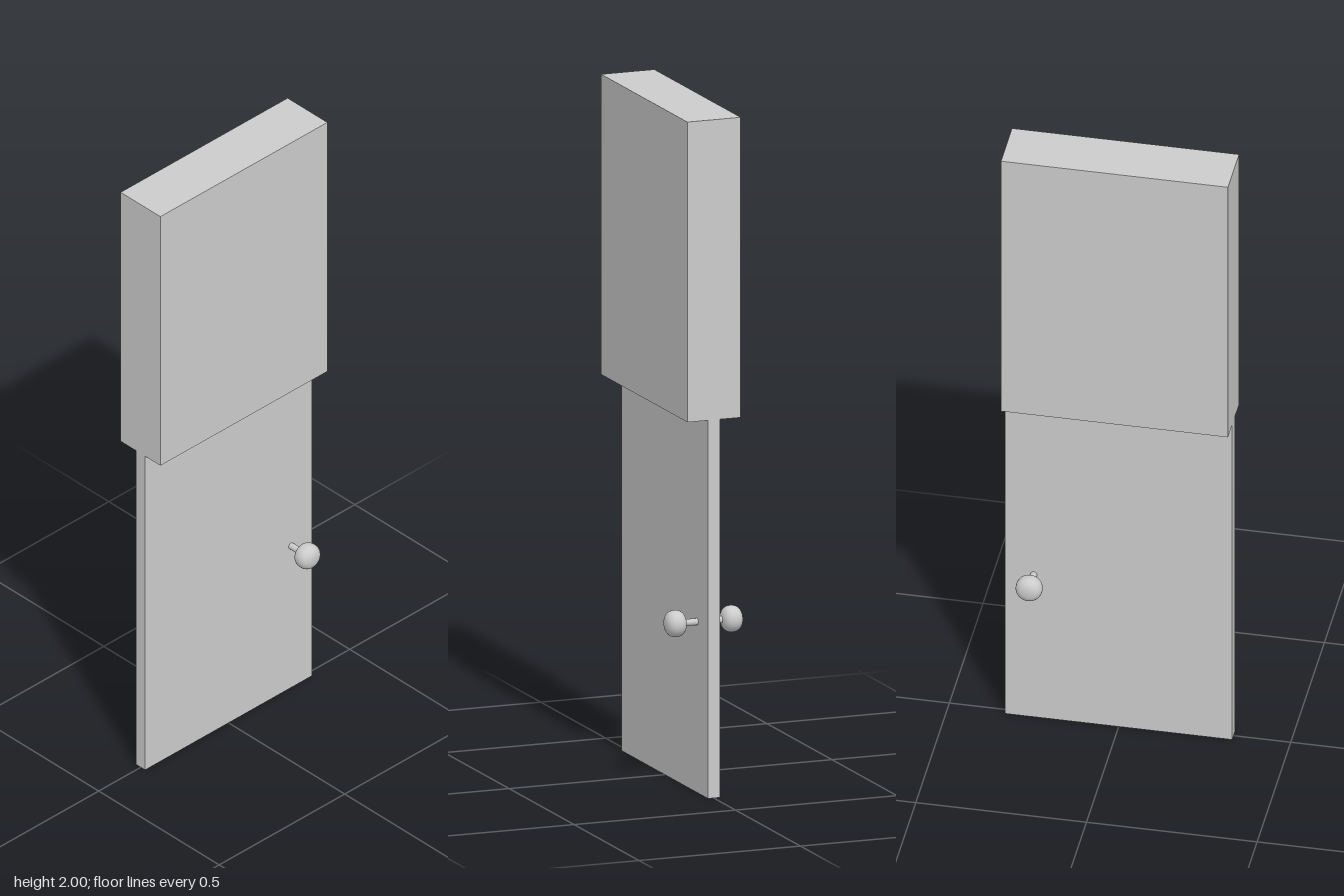
import * as THREE from 'three';

const material = new THREE.MeshStandardMaterial({ color: 0xcccccc });

function addMesh(parent, name, geometry, x, y, z) {
  const mesh = new THREE.Mesh(geometry, material);
  mesh.name = name;
  mesh.position.set(x, y, z);
  parent.add(mesh);
  return mesh;
}

// Flattened knob turned around y, with a slightly squared profile
function knobGeometry(radius, halfDepth) {
  const points = [];
  const steps = 16;
  for (let i = 0; i <= steps; i++) {
    const a = -Math.PI / 2 + (Math.PI * i) / steps;
    const c = Math.max(0, Math.cos(a));
    const s = Math.sin(a);
    points.push(new THREE.Vector2(
      i % steps === 0 ? 0 : radius * Math.pow(c, 0.85),
      halfDepth * Math.sign(s) * Math.pow(Math.abs(s), 0.85)
    ));
  }
  return new THREE.LatheGeometry(points, 32).rotateX(Math.PI / 2);
}

export function createModel() {
  const model = new THREE.Group();
  model.name = 'doorWithWallAbove';
  const width = 0.665;
  const split = 1.115;
  const zMid = -0.001;

  // Thick wall section over the thin door leaf
  addMesh(model, 'wallAbove', new THREE.BoxGeometry(width, 2 - split, 0.165), 0, (2 + split) / 2, zMid);
  addMesh(model, 'doorLeaf', new THREE.BoxGeometry(width, split, 0.038), 0, split / 2, zMid);

  // Matching handles on both faces
  for (const side of [1, -1]) {
    const handle = new THREE.Group();
    handle.name = side > 0 ? 'frontHandle' : 'backHandle';
    handle.position.set(0.249, 0.504, zMid);
    const stem = new THREE.CylinderGeometry(0.01, 0.01, 0.06, 20).rotateX(Math.PI / 2);
    addMesh(handle, 'stem', stem, 0, 0, side * 0.04);
    addMesh(handle, 'knob', knobGeometry(0.039, 0.031), 0, 0, side * 0.087);
    model.add(handle);
  }
  return model;
}
